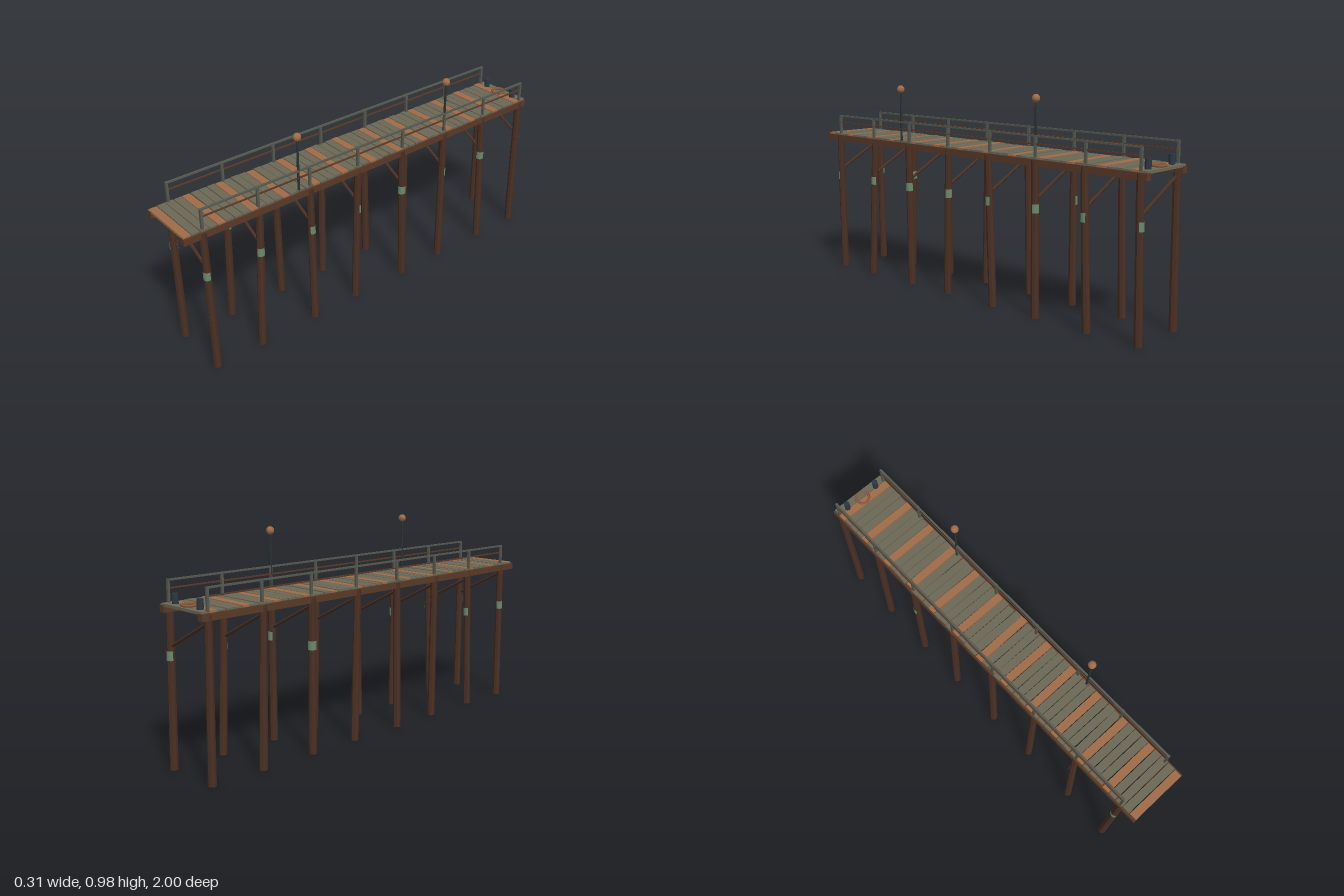
import * as THREE from 'three';

const mat = (name, color, extra = {}) => {
  const m = new THREE.MeshStandardMaterial({ color, ...extra });
  m.name = name;
  return m;
};

export function createModel() {
  const pier = new THREE.Group();
  pier.name = 'pier';

  const darkWood = mat('dark wood', 0x4a3024, { flatShading: true });
  const beamWood = mat('beam wood', 0x5a3a28, { flatShading: true });
  const greyWood = mat('weathered wood', 0x6c6856, { flatShading: true });
  const tanWood = mat('tan wood', 0xa06c48, { flatShading: true });
  const railGrey = mat('rail grey', 0x565a50, { flatShading: true });
  const iron = mat('dark iron', 0x2a3234, { flatShading: true });
  const slate = mat('bollard slate', 0x2c3842, { flatShading: true });
  const moss = mat('moss', 0x6a8a6c, { flatShading: true, side: THREE.DoubleSide });
  const rope = mat('rope', 0x8a5c3c);

  // Small repeatable random numbers for the worn look
  let seed = 7;
  const jitter = (amount) => {
    seed = (seed * 16807) % 2147483647;
    return (seed / 2147483647 - 0.5) * 2 * amount;
  };

  const add = (name, geometry, material, x = 0, y = 0, z = 0) => {
    const mesh = new THREE.Mesh(geometry, material);
    mesh.name = name;
    mesh.position.set(x, y, z);
    pier.add(mesh);
    return mesh;
  };
  const box = (name, w, h, d, material, x, y, z) =>
    add(name, new THREE.BoxGeometry(w, h, d), material, x, y, z);

  // Round member running from point a to point b
  const up = new THREE.Vector3(0, 1, 0);
  const rod = (name, a, b, rBottom, rTop, sides, material) => {
    const dir = b.clone().sub(a);
    const mid = a.clone().add(b).multiplyScalar(0.5);
    const geometry = new THREE.CylinderGeometry(rTop, rBottom, dir.length(), sides);
    const mesh = add(name, geometry, material, mid.x, mid.y, mid.z);
    mesh.quaternion.setFromUnitVectors(up, dir.normalize());
    return mesh;
  };
  const V = (x, y, z) => new THREE.Vector3(x, y, z);

  const deckTop = 0.715;
  const bentZ = (i) => 0.907 - 0.2674 * i;

  // Deck planks, every fourth one newer
  for (let k = 0; k < 50; k++) {
    const plank = box('plank', 0.28 + jitter(0.004), 0.012, 0.036, k % 4 ? greyWood : tanWood,
      jitter(0.002), deckTop - 0.006 + jitter(0.0015), 0.981 - 0.04004 * k);
    if (k > 0 && k < 49) plank.rotation.y = jitter(0.012);
  }

  // Long beams under the deck edges
  for (const s of [-1, 1]) box('stringer', 0.03, 0.03, 2, beamWood, s * 0.132, 0.692, 0);

  // Lean of each pair of piles along the pier
  const lean = [-0.007, 0.024, -0.008, 0.01, -0.02, -0.004, -0.022, -0.01];
  // Direction each moss patch faces, in radians from +z towards +x
  const mossFacing = {
    1: [0.5, 1.5, 2.0, 2.8, 1.0, 2.8, 1.0, 3.3],
    '-1': [-1.9, 2.8, null, null, null, -2.2, null, null],
  };

  for (let i = 0; i < 8; i++) {
    const z = bentZ(i);
    for (const s of [-1, 1]) {
      // Piles
      const foot = V(s * 0.133 + jitter(0.003), 0.001, z + lean[i] * (s > 0 ? 1 : 0.6));
      const head = V(s * 0.134 + jitter(0.003), 0.703, z - lean[i] * 0.3);
      rod('pile', foot, head, 0.0185, 0.0165, 8, darkWood);

      // Moss patch wrapped round the pile
      const facing = mossFacing[s][i];
      if (facing !== null) {
        const p = foot.clone().lerp(head, 0.7);
        const arc = 2.6;
        add('mossPatch', new THREE.CylinderGeometry(0.0185, 0.0187, 0.04, 5, 1, true,
          facing - arc / 2, arc), moss, p.x, p.y, p.z);
      }

      // Railing posts
      box('railPost', 0.011, 0.1, 0.011, railGrey, s * 0.134, 0.76, z);
    }
    // Diagonal brace
    rod('brace', V(-0.128, 0.664, z), V(0.13, 0.53, z), 0.007, 0.007, 6, darkWood);
  }

  // Hand rails and mid rails
  const railStart = bentZ(0), railEnd = bentZ(7);
  const railLength = railStart - railEnd, railMid = (railStart + railEnd) / 2;
  for (const s of [-1, 1]) {
    box('handRail', 0.009, 0.008, railLength, railGrey, s * 0.134, 0.806, railMid);
    box('midRail', 0.006, 0.006, railLength, beamWood, s * 0.134, 0.772, railMid);
  }

  // Lamps on the left side
  for (const z of [0.43, -0.43]) {
    rod('lampPole', V(0.133, 0.7, z), V(0.133, 0.955, z), 0.006, 0.005, 8, iron);
    add('lampGlobe', new THREE.SphereGeometry(0.0185, 10, 8), tanWood, 0.133, 0.966, z);
  }

  // Mooring bollards and coiled rope at the back end
  for (const s of [-1, 1])
    add('bollard', new THREE.CylinderGeometry(0.014, 0.014, 0.043, 8), slate, s * 0.086, 0.736, -0.965);
  const coil = add('ropeCoil', new THREE.TorusGeometry(0.031, 0.006, 6, 20), rope, 0, 0.721, -0.958);
  coil.rotation.x = Math.PI / 2;

  return pier;
}
